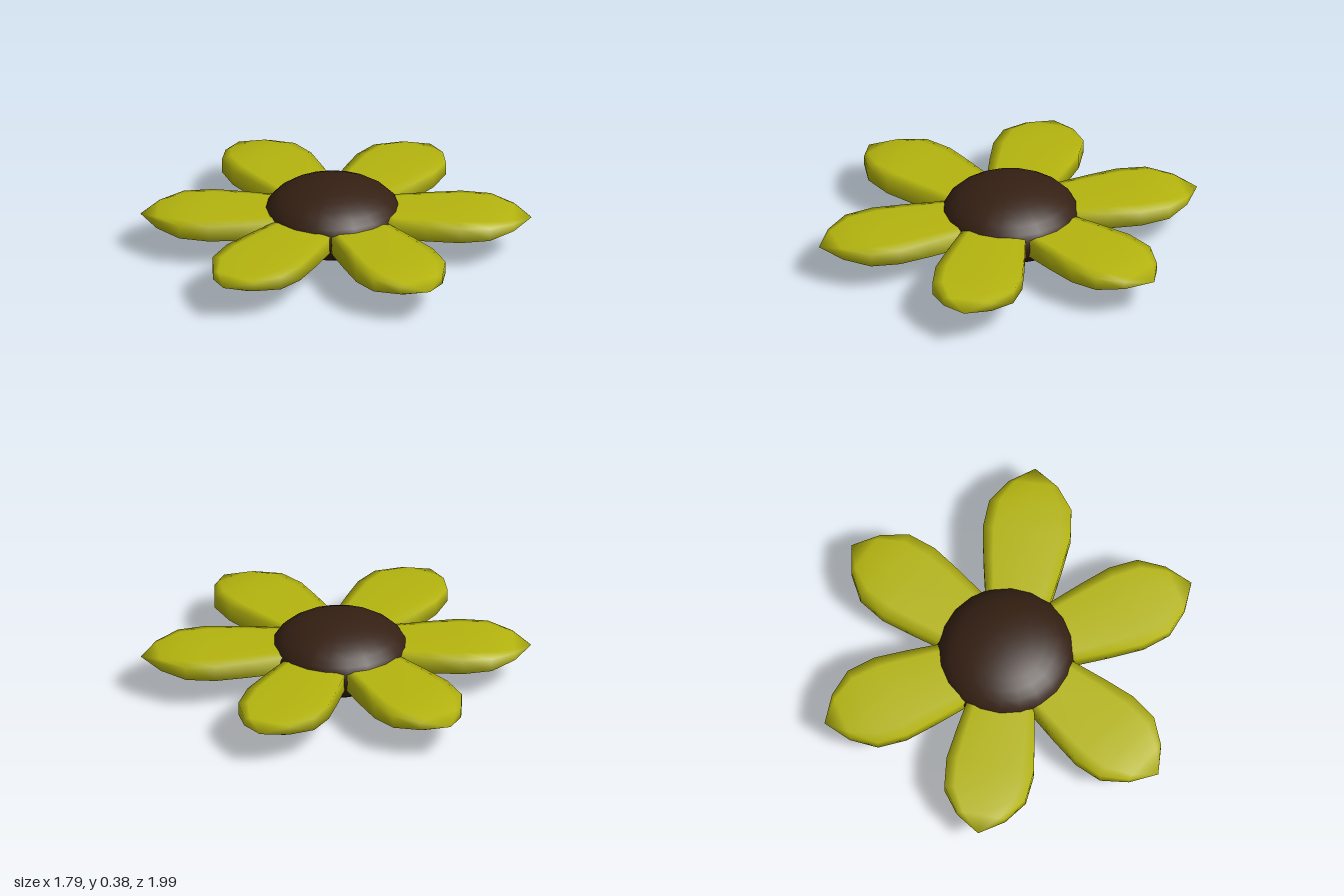
import * as THREE from 'three';

// Petal stations from base to tip: distance out, half width, half height of side wall, half thickness
const STATIONS = [
  [0.20, 0.150, 0.045, 0.055],
  [0.29, 0.170, 0.045, 0.056],
  [0.46, 0.200, 0.043, 0.055],
  [0.63, 0.225, 0.040, 0.053],
  [0.78, 0.210, 0.034, 0.047],
  [0.90, 0.125, 0.020, 0.028],
];
const TIP = 0.99;

// Cross-section: upright side walls, bevelled into a nearly flat top and bottom
function section([z, w, s, h]) {
  const e = 0.75 * w;
  return [[w, -s], [w, s], [e, h], [0, h], [-e, h], [-w, s], [-w, -s], [-e, -h], [0, -h], [e, -h]]
    .map(([x, y]) => [x, y, z]);
}

function petalGeometry() {
  const rings = STATIONS.map(section);
  const n = rings[0].length;
  const tip = rings.length * n;
  const positions = [...rings.flat(2), 0, 0, TIP];
  const index = [];
  for (let i = 0; i < rings.length; i++) {
    for (let j = 0; j < n; j++) {
      const a = i * n + j;
      const b = i * n + (j + 1) % n;
      if (i === rings.length - 1) index.push(a, b, tip);
      else index.push(a, b, b + n, a, b + n, a + n);
    }
  }
  // Base cap, hidden inside the disc
  for (let j = 1; j < n - 1; j++) index.push(0, j + 1, j);
  const geometry = new THREE.BufferGeometry();
  geometry.setAttribute('position', new THREE.Float32BufferAttribute(positions, 3));
  geometry.setIndex(index);
  geometry.computeVertexNormals();
  return geometry;
}

export function createModel() {
  const flower = new THREE.Group();
  flower.name = 'flower';
  const yellow = new THREE.MeshStandardMaterial({ color: 0xb5b50f });
  const brown = new THREE.MeshStandardMaterial({ color: 0x352013 });

  // Seed disc: a flattened ball
  const disc = new THREE.Mesh(new THREE.SphereGeometry(0.355, 20, 16), brown);
  disc.name = 'seedDisc';
  disc.scale.y = 0.19 / 0.355;
  disc.position.set(-0.015, 0.19, -0.02);
  flower.add(disc);

  // Six petals, slightly unevenly placed: angle from the front, tip distance, height
  const placements = [
    [0, 0.99, 0.187], [63.8, 0.997, 0.187], [123.7, 1.01, 0.197],
    [184.6, 1.003, 0.187], [242.2, 1.017, 0.187], [301, 0.98, 0.187],
  ];
  const geometry = petalGeometry();
  placements.forEach(([degrees, reach, y], i) => {
    const angle = THREE.MathUtils.degToRad(degrees);
    const petal = new THREE.Mesh(geometry, yellow);
    petal.name = `petal${i + 1}`;
    petal.rotation.y = angle;
    petal.position.set(Math.sin(angle) * (reach - TIP), y, Math.cos(angle) * (reach - TIP));
    flower.add(petal);
  });
  return flower;
}
